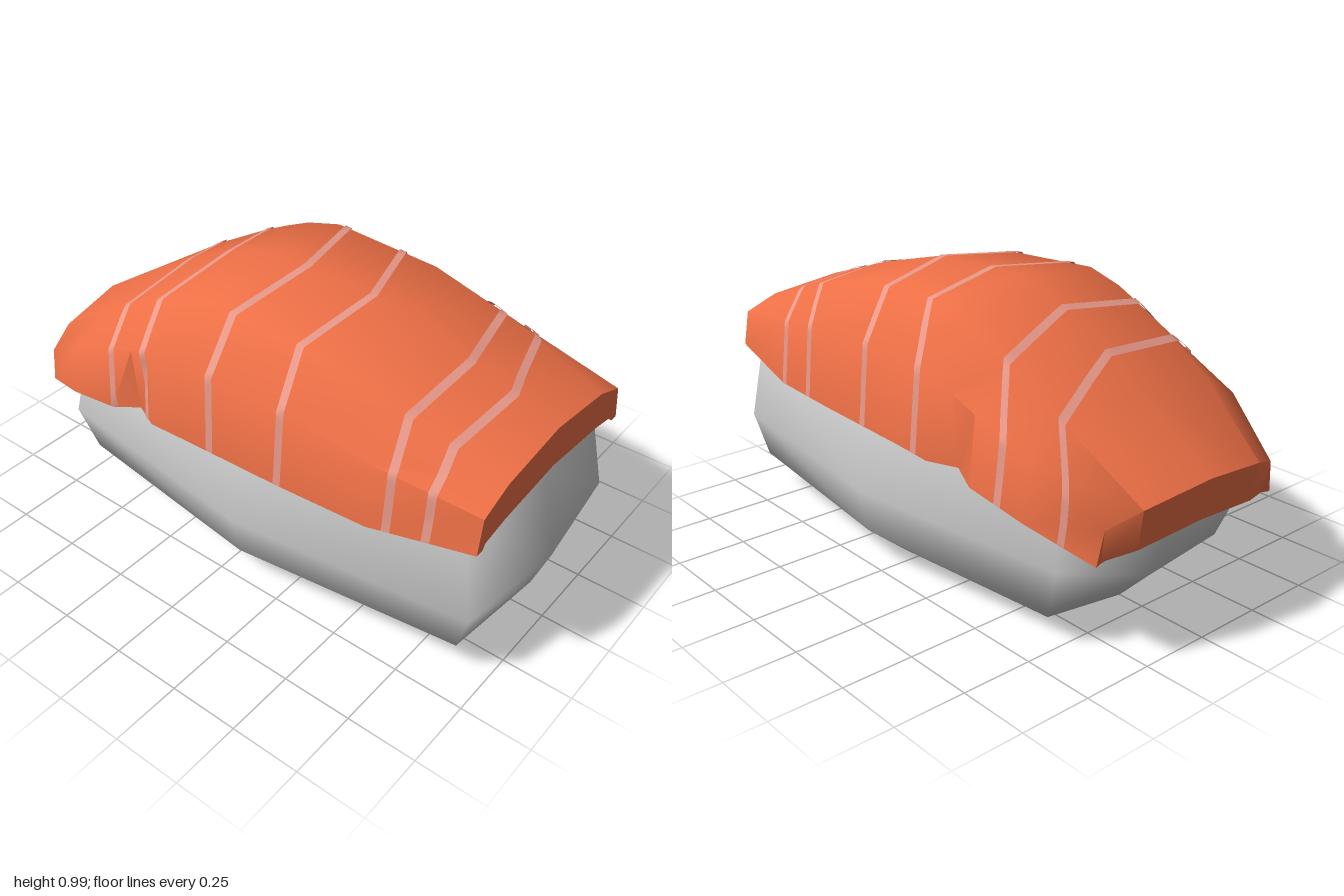
import * as THREE from 'three';
import { toCreasedNormals } from 'three/addons/utils/BufferGeometryUtils.js';

// Closed loft through rings of equal length, both ends capped across the ring
function loft(rings) {
  const n = rings[0].length, last = (rings.length - 1) * n, index = [];
  for (let v = 0; v < rings.length - 1; v++) {
    for (let i = 0; i < n; i++) {
      const a = v * n + i, b = v * n + (i + 1) % n;
      index.push(a, b, a + n, b, b + n, a + n);
    }
  }
  for (let i = 0; i < n / 2 - 1; i++) {
    const p = i, q = i + 1, r = n - 2 - i, s = n - 1 - i;
    if (r !== q) {
      index.push(p, s, r, p, r, q);
      index.push(last + p, last + r, last + s, last + p, last + q, last + r);
    }
  }
  const geo = new THREE.BufferGeometry();
  geo.setAttribute('position', new THREE.Float32BufferAttribute(rings.flat(2), 3));
  geo.setIndex(index);
  return geo;
}

// Rice block levels: y, side x, corner x, front z, front corner z, back corner z, back z
const RICE = [
  [0, 0.345, 0.28, 0.83, 0.78, -0.6, -0.65],
  [0.12, 0.49, 0.39, 0.94, 0.9, -0.72, -0.77],
  [0.28, 0.525, 0.42, 1.0, 0.95, -0.78, -0.83],
  [0.57, 0.485, 0.39, 0.94, 0.9, -0.72, -0.77],
  [0.64, 0.38, 0.3, 0.82, 0.78, -0.55, -0.58],
];
const riceRing = ([y, w, c, f, fc, bc, b]) => [
  [0, y, f], [c, y, fc], [w, y, 0.08], [c, y, bc],
  [0, y, b], [-c, y, bc], [-w, y, 0.08], [-c, y, fc],
];

// Fish slice stations, front to back: z, half width, top y, side edge y, fold depth, rounding of the end
const FISH = [
  [0.96, 0.43, 0.78, 0.57, 0, 0],
  [0.6, 0.485, 0.895, 0.52, 0, 0],
  [0.28, 0.505, 0.975, 0.52, 0, 0],
  [-0.14, 0.515, 0.993, 0.515, 0, 0],
  [-0.28, 0.512, 0.955, 0.505, 0, 0],
  [-0.38, 0.508, 0.91, 0.5, 0.045, 0],
  [-0.48, 0.503, 0.86, 0.48, 0, 0],
  [-0.7, 0.485, 0.735, 0.435, 0, 0],
  [-1.0, 0.4, 0.54, 0.35, 0, 1],
];
// Half sections run from the centre to the +x edge
function outerHalf([z, w, t, b, fold, round]) {
  return [
    [0, t, z],
    [0.66 * w, t - 0.035, z + 0.03 * round],
    [0.95 * w, b + 0.6 * (t - b), z + 0.07 * round],
    [w - fold, b, z + 0.08 * round],
  ];
}
function innerHalf([z, w, t, b, fold, round]) {
  const y = t - 0.17;
  return [
    [0, t - 0.145, z + 0.03 * round],
    [0.65 * w, y, z + 0.05 * round],
    [0.9 * w - fold, (y + b) / 2, z + 0.08 * round],
    [w - 0.03 - fold, b, z + 0.09 * round],
  ];
}
const mirror = (half) => [
  ...half.slice(1).reverse().map(([x, y, z]) => [-x, y, z]), ...half,
];
const fishOuter = FISH.map((s) => mirror(outerHalf(s)));
const fishRings = FISH.map((s, i) => [...fishOuter[i], ...mirror(innerHalf(s)).reverse()]);

// Point on the outer face of the slice: column u (0..6) and depth z
function onFish(u, z) {
  let v = 0;
  while (v < FISH.length - 2 && z < FISH[v + 1][0]) v++;
  const b = (FISH[v][0] - z) / (FISH[v][0] - FISH[v + 1][0]);
  const i = Math.min(5, Math.floor(u)), a = u - i;
  const p = fishOuter[v][i], q = fishOuter[v][i + 1];
  const r = fishOuter[v + 1][i + 1], s = fishOuter[v + 1][i];
  const [x, y, zz] = [0, 1, 2].map((k) => a + b < 1
    ? p[k] + a * (q[k] - p[k]) + b * (s[k] - p[k])
    : r[k] + (1 - a) * (s[k] - r[k]) + (1 - b) * (q[k] - r[k]));
  return [x * 1.01, y + 0.005, zz];
}

// Fat lines: depth at each column of the slice, from the -x edge to the +x edge
const LINES = [
  [0.8, 0.8, 0.78, 0.8, 0.7, 0.58, 0.58],
  [0.67, 0.67, 0.63, 0.64, 0.56, 0.41, 0.41],
  [0.27, 0.27, 0.23, 0.26, 0.14, 0.06, 0.06],
  [-0.01, -0.02, -0.04, -0.01, -0.1, -0.22, -0.22],
  [-0.31, -0.32, -0.37, -0.36, -0.46, -0.6, -0.6],
  [-0.47, -0.48, -0.54, -0.56, -0.69, -0.85, -0.86],
];
function fatLine(depths) {
  const STEPS = 8, pos = [], index = [];
  for (let k = 0; k <= 6 * STEPS; k++) {
    const u = k / STEPS, i = Math.min(5, Math.floor(u));
    const z = THREE.MathUtils.lerp(depths[i], depths[i + 1], u - i);
    pos.push(...onFish(u, z + 0.014), ...onFish(u, z - 0.014));
    if (k) {
      const a = 2 * k - 2;
      index.push(a, a + 2, a + 1, a + 2, a + 3, a + 1);
    }
  }
  const geo = new THREE.BufferGeometry();
  geo.setAttribute('position', new THREE.Float32BufferAttribute(pos, 3));
  geo.setIndex(index);
  geo.computeVertexNormals();
  return geo;
}

export function createModel() {
  const group = new THREE.Group();
  const add = (name, geo, mat) => {
    const mesh = new THREE.Mesh(geo, mat);
    mesh.name = name;
    group.add(mesh);
  };

  // Rice block
  const riceGeo = loft(RICE.map(riceRing));
  riceGeo.computeVertexNormals();
  add('riceBlock', riceGeo, new THREE.MeshStandardMaterial({ color: 0xcccccc }));

  // Draped fish slice
  add('fishSlice', toCreasedNormals(loft(fishRings), 1.0),
    new THREE.MeshStandardMaterial({ color: 0xee7046 }));

  // Pale lines across the fish
  const pale = new THREE.MeshStandardMaterial({ color: 0xe8998a, side: THREE.DoubleSide });
  LINES.forEach((d, i) => add(`fatLine${i + 1}`, fatLine(d), pale));
  return group;
}
